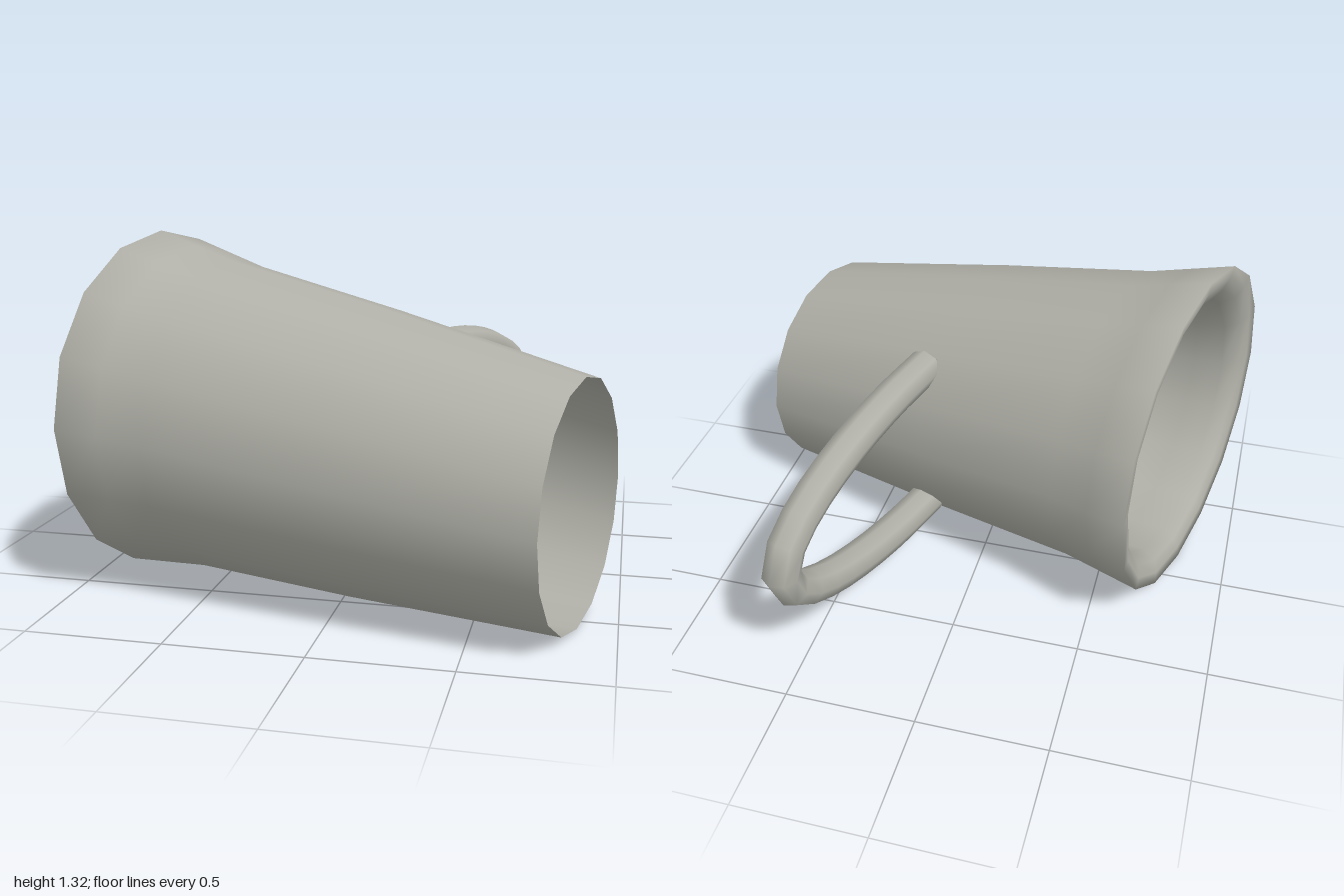
import * as THREE from 'three';

export function createModel() {
  const group = new THREE.Group();
  const clay = new THREE.MeshStandardMaterial({ color: 0xb0b0a8, side: THREE.DoubleSide });
  clay.name = 'warm grey clay';

  // Directions of the mug lying on its side, turned 15 degrees
  const yaw = THREE.MathUtils.degToRad(15);
  const up = new THREE.Vector3(0, 1, 0);
  const axis = new THREE.Vector3(Math.cos(yaw), -0.125, Math.sin(yaw));
  const back = new THREE.Vector3(Math.sin(yaw), 0, -Math.cos(yaw));

  // Body: deep tapering inner cup with a rounded end, thick lip, flare, then a taper to the open end
  const profile = [
    [0, 1.34], [0.1, 1.325], [0.2, 1.28], [0.28, 1.2], [0.35, 1.0], [0.43, 0.7], [0.5, 0.4],
    [0.525, 0.2], [0.525, 0.08], [0.56, 0.025], [0.61, 0.005],
    [0.656, 0], [0.625, 0.16], [0.594, 0.32], [0.535, 0.94], [0.445, 1.723],
  ].map(([r, h]) => new THREE.Vector2(r, h));
  const bodyGeometry = new THREE.LatheGeometry(profile, 16);
  bodyGeometry.applyMatrix4(
    new THREE.Matrix4().makeBasis(up, axis, back).setPosition(-0.805, 0.66, 0.125));
  const body = new THREE.Mesh(bodyGeometry, clay);
  body.name = 'mugBody';
  group.add(body);

  // Handle: half ellipse reaching out behind the body
  const points = [];
  for (let i = 0; i <= 12; i++) {
    const a = (i / 12) * Math.PI;
    points.push(new THREE.Vector3(0.242, 0.54, 0)
      .addScaledVector(up, 0.325 * Math.cos(a))
      .addScaledVector(back, 0.96 * Math.sin(a)));
  }
  const path = new THREE.CatmullRomCurve3(points);
  const handle = new THREE.Mesh(new THREE.TubeGeometry(path, 20, 0.07, 8), clay);
  handle.name = 'handle';
  group.add(handle);

  // Flat ends of the handle
  [0, 1].forEach((t) => {
    const cap = new THREE.Mesh(new THREE.CircleGeometry(0.07, 8), clay);
    cap.name = 'handleEnd';
    cap.position.copy(path.getPointAt(t));
    cap.quaternion.setFromUnitVectors(new THREE.Vector3(0, 0, 1),
      path.getTangentAt(t).multiplyScalar(t ? 1 : -1));
    group.add(cap);
  });
  return group;
}
